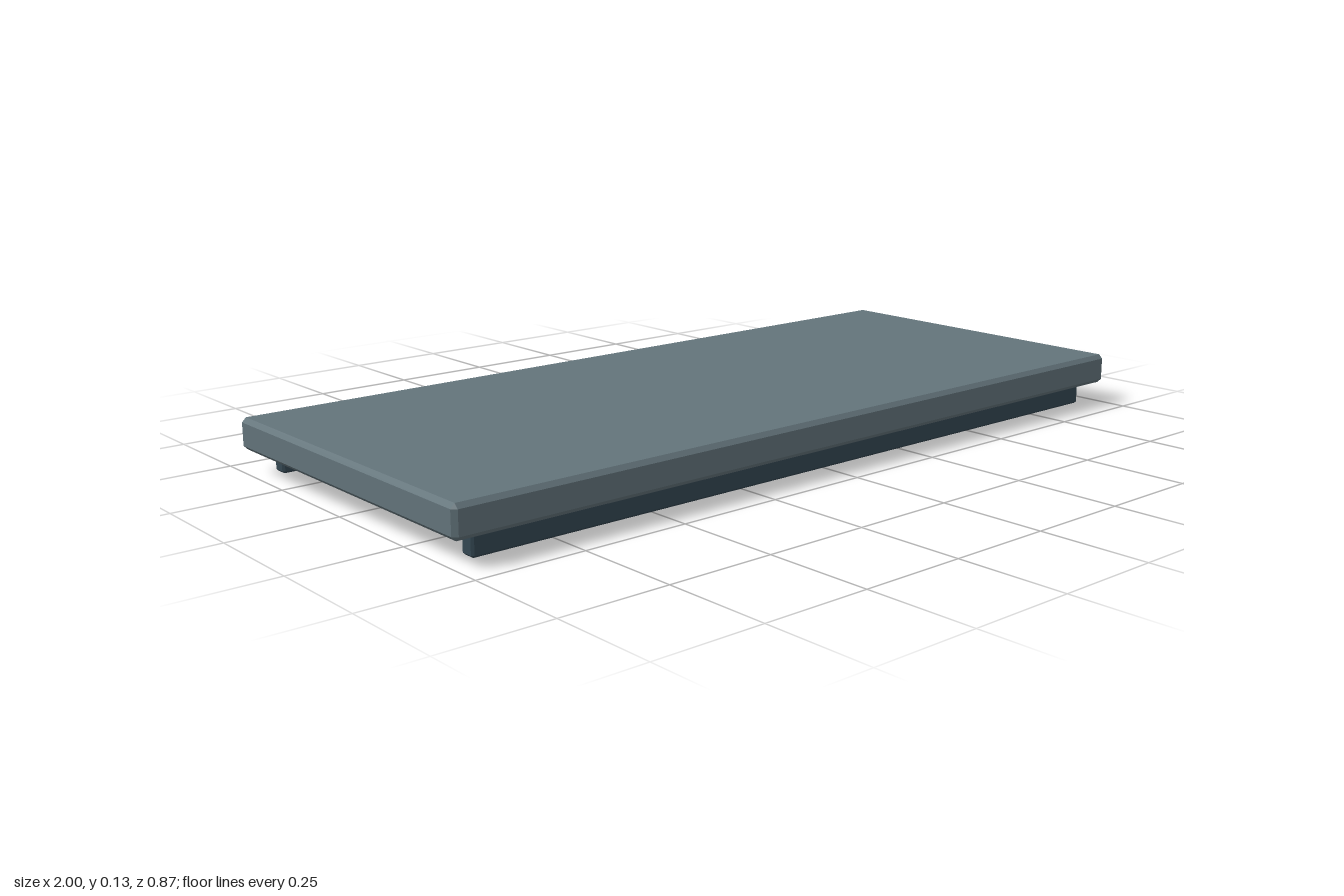
import * as THREE from 'three';
import { ConvexGeometry } from 'three/addons/geometries/ConvexGeometry.js';

// Box with every edge and corner cut by a flat chamfer c
function chamferedBox(w, h, d, c) {
  const points = [];
  for (const sx of [-1, 1]) for (const sy of [-1, 1]) for (const sz of [-1, 1]) {
    for (let axis = 0; axis < 3; axis++) {
      // one point per face meeting at this corner
      const inset = [c, c, c];
      inset[axis] = 0;
      points.push(new THREE.Vector3(
        sx * (w / 2 - inset[0]), sy * (h / 2 - inset[1]), sz * (d / 2 - inset[2])));
    }
  }
  return new ConvexGeometry(points);
}

export function createModel() {
  const group = new THREE.Group();
  const slabMaterial = new THREE.MeshStandardMaterial({ color: 0x63747b, flatShading: true });
  const railMaterial = new THREE.MeshStandardMaterial({ color: 0x344752, flatShading: true });

  // Flat top slab
  const slab = new THREE.Mesh(chamferedBox(2, 0.074, 0.868, 0.01), slabMaterial);
  slab.name = 'slab';
  slab.position.y = 0.09;
  group.add(slab);

  // Two long support rails, let slightly into the underside
  const railGeometry = chamferedBox(1.88, 0.06, 0.038, 0.005);
  for (const side of [1, -1]) {
    const rail = new THREE.Mesh(railGeometry, railMaterial);
    rail.name = side > 0 ? 'frontRail' : 'backRail';
    rail.position.set(0, 0.03, side * 0.38);
    group.add(rail);
  }
  return group;
}
